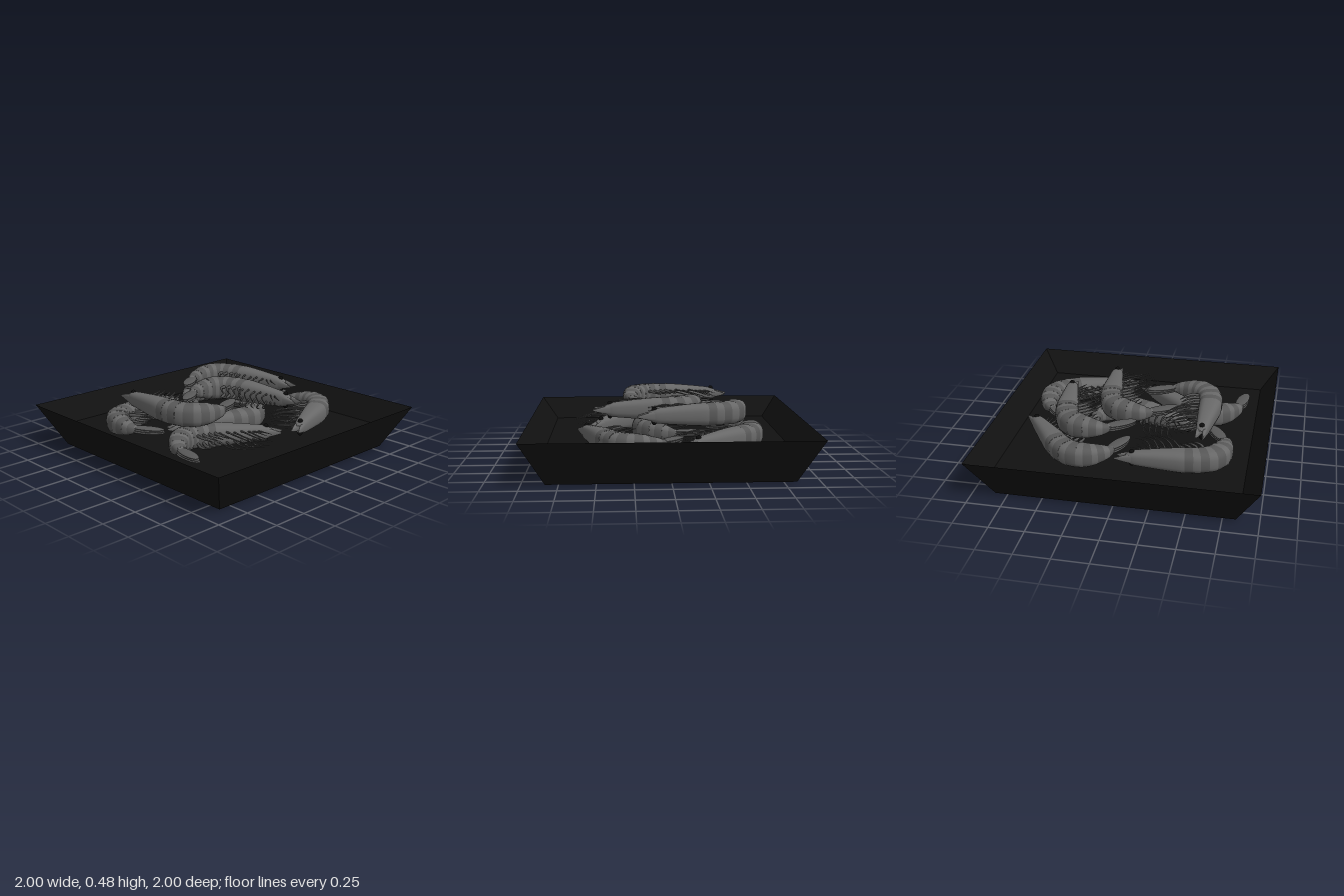
import * as THREE from 'three';

const mat = (color) => new THREE.MeshStandardMaterial({ color, side: THREE.DoubleSide });
const shellLight = mat(0x686868), shellDark = mat(0x585858), limb = mat(0x555555);
const black = mat(0x0c0c0c);
const trayMat = mat(0x111111);
trayMat.flatShading = true;

// Tube with a changing rounded-box section along a flat path.
// stations: [along, sideways, half width, half thickness]
function loft(stations, t0 = 0, t1 = 1, rows = 8, flare = 0, ring = 24) {
  const path = new THREE.CatmullRomCurve3(stations.map(([u, v]) => new THREE.Vector3(v, 0, u)), false, 'catmullrom');
  const size = new THREE.CatmullRomCurve3(stations.map(([, , w, h]) => new THREE.Vector3(w, h, 0)), false, 'catmullrom');
  const up = new THREE.Vector3(0, 1, 0), pos = [], idx = [];
  const soft = (c) => Math.sign(c) * Math.pow(Math.abs(c), 0.72);
  for (let i = 0; i <= rows; i++) {
    const t = THREE.MathUtils.lerp(t0, t1, i / rows);
    const c = path.getPoint(t), s = size.getPoint(t);
    const n = path.getTangent(t).cross(up).normalize();
    const k = 1 + flare * i / rows;
    for (let j = 0; j < ring; j++) {
      const a = j / ring * Math.PI * 2;
      const w = s.x * k * soft(Math.cos(a)), h = s.y * k * soft(Math.sin(a));
      pos.push(c.x + n.x * w, h, c.z + n.z * w);
      if (i < rows) {
        const p = i * ring + j, q = i * ring + (j + 1) % ring;
        idx.push(p, p + ring, q, q, p + ring, q + ring);
      }
    }
  }
  const g = new THREE.BufferGeometry();
  g.setAttribute('position', new THREE.Float32BufferAttribute(pos, 3));
  g.setIndex(idx);
  g.computeVertexNormals();
  return g;
}

function add(parent, name, geometry, material) {
  const m = new THREE.Mesh(geometry, material);
  m.name = name;
  parent.add(m);
  return m;
}

// Thin limb: a tube that narrows to its tip
function limbGeometry(points, radius) {
  const curve = new THREE.CatmullRomCurve3(points.map((p) => new THREE.Vector3(...p)));
  const rows = 10, sides = 5;
  const g = new THREE.TubeGeometry(curve, rows, radius, sides);
  const p = g.attributes.position, v = new THREE.Vector3();
  for (let i = 0; i <= rows; i++) {
    const c = curve.getPointAt(i / rows), k = 1 - 0.8 * (i / rows) ** 2;
    for (let j = 0; j <= sides; j++) {
      const n = i * (sides + 1) + j;
      v.fromBufferAttribute(p, n).sub(c).multiplyScalar(k).add(c);
      p.setXYZ(n, v.x, v.y, v.z);
    }
  }
  return g;
}

// Shrimp lying on its side: nose at the origin, body along +z, curling to +x
function createShrimp() {
  const shrimp = new THREE.Group();
  const body = [
    [0.08, 0, 0.02, 0.022], [0.13, 0, 0.044, 0.048], [0.25, 0, 0.058, 0.062], [0.40, 0, 0.075, 0.074],
    [0.50, 0, 0.084, 0.079], [0.60, 0.012, 0.088, 0.08], [0.69, 0.045, 0.088, 0.08], [0.75, 0.115, 0.082, 0.079],
    [0.775, 0.195, 0.068, 0.066], [0.78, 0.28, 0.047, 0.042], [0.755, 0.345, 0.022, 0.016],
  ];
  const last = body.length - 1, split = 4;

  // Carapace and six overlapping tail rings
  add(shrimp, 'carapace', loft(body, 0, split / last, 14, 0.02), shellLight);
  for (let i = split; i < last; i++) {
    const mid = (i + 0.55) / last;
    add(shrimp, 'tailRing', loft(body, (i - 0.1) / last, mid, 5, 0.01), shellDark);
    add(shrimp, 'tailRingEdge', loft(body, mid, (i + 1) / last, 4, i < last - 1 ? 0.03 : 0), shellLight);
  }

  // Forked nose: spike above, blade below
  add(shrimp, 'noseSpike', loft([[0, -0.026, 0.002, 0.006], [0.07, -0.024, 0.013, 0.024], [0.16, -0.02, 0.026, 0.042]]), shellLight);
  add(shrimp, 'noseBlade', loft([[0.015, 0.032, 0.002, 0.006], [0.07, 0.024, 0.014, 0.022], [0.16, 0.02, 0.026, 0.04]]), shellLight);

  // Tail fan leaves
  [[-0.014, 0.05], [0.014, -0.05], [0, 0]].forEach(([y, turn]) => {
    const leaf = add(shrimp, 'tailFan', new THREE.SphereGeometry(1, 20, 10), shellDark);
    leaf.scale.set(0.046, 0.012, 0.128);
    leaf.position.set(0.405, y, 0.725);
    leaf.rotation.y = Math.PI - 1.08 + turn;
  });

  for (const side of [-1, 1]) {
    const eye = add(shrimp, 'eye', new THREE.SphereGeometry(0.019, 14, 10), black);
    eye.position.set(0, side * 0.045, 0.125);

    // Walking legs, swept towards the head
    for (let i = 0; i < 5; i++) {
      const u = 0.27 + i * 0.055, y = side * (0.022 + 0.004 * (i % 2));
      const reach = 0.19 + 0.018 * i + (side > 0 ? 0.02 : 0), sweep = 0.10 + 0.016 * i;
      add(shrimp, 'walkingLeg', limbGeometry([
        [0.03, y, u], [0.085, y * 1.5, u - 0.02],
        [0.05 + reach * 0.6, y * 1.7, u - sweep * 0.55], [0.05 + reach, y * 0.7, u - sweep - 0.05 - side * 0.012],
      ], 0.007), limb);
    }

    // Shorter, broader swimming legs under the tail
    for (let i = 0; i < 4; i++) {
      const u = 0.51 + i * 0.04, v = 0.05 + i * 0.02, y = side * 0.03;
      add(shrimp, 'swimmingLeg', limbGeometry([
        [v, y, u], [v + 0.06, y * 1.2, u - 0.02], [v + 0.125, y * 0.8, u - 0.085 - side * 0.008],
      ], 0.012), limb);
    }

    // Feelers by the mouth
    for (let i = 0; i < 2; i++) {
      const u = 0.2 + i * 0.04;
      add(shrimp, 'feeler', limbGeometry([
        [0.03, side * 0.02, u], [0.075, side * 0.03, u - 0.03], [0.11 + i * 0.03, side * 0.02, u - 0.1],
      ], 0.006), limb);
    }
  }
  return shrimp;
}

export function createModel() {
  const model = new THREE.Group();

  // Square tray with sloping walls and a raised floor
  const r = Math.SQRT2;
  const profile = [[0, 0], [0.84, 0], [1, 0.31], [0.87, 0.15], [0, 0.15]];
  add(model, 'tray', new THREE.LatheGeometry(
    profile.map(([x, y]) => new THREE.Vector2(x * r, y)), 4, Math.PI / 4), trayMat);

  // Shrimps in two layers: nose x, nose z, heading in degrees, layer
  const shrimp = createShrimp();
  [
    [0.045, -0.58, -85, 0], [0.05, 0.56, -127, 0], [-0.51, -0.06, 67, 0],
    [0.80, -0.09, 218, 0], [0.10, 0.63, 113, 0],
    [-0.535, -0.515, -2, 1], [0.25, 0.535, 186, 1], [0.54, 0.225, 189, 1],
  ].forEach(([x, z, heading, layer]) => {
    const s = shrimp.clone();
    s.name = layer ? 'upperShrimp' : 'lowerShrimp';
    s.scale.set(0.98, 1, 0.98);
    s.position.set(x, layer ? 0.4 : 0.237, z);
    s.rotation.y = THREE.MathUtils.degToRad(heading);
    model.add(s);
  });
  return model;
}
